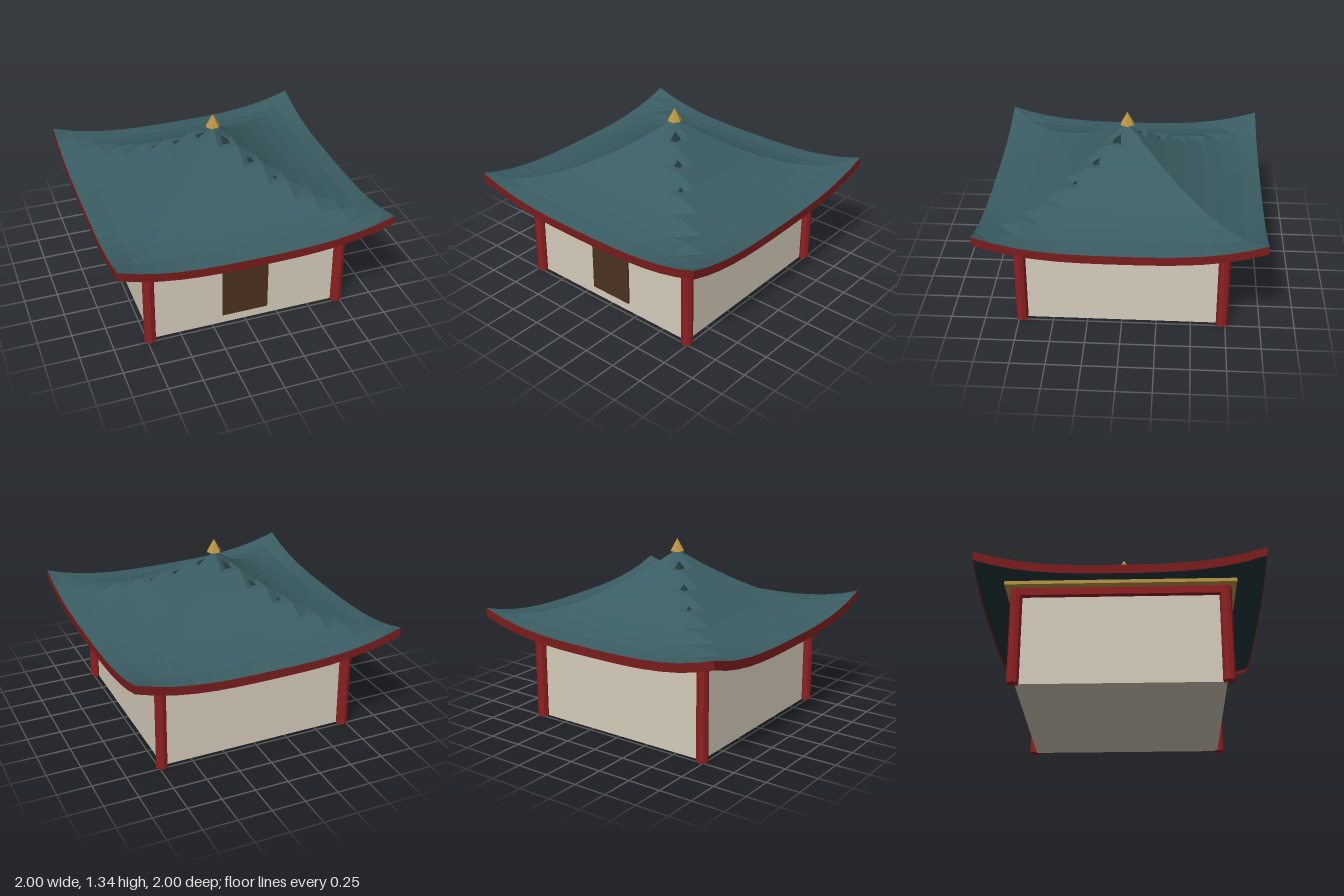
import * as THREE from 'three';

const EAVE = 0.745, PEAK = 1.25, LIFT = 0.12, SHELL = 0.037, RIM = 0.065, SEGS = 14;

const mat = (color, side = THREE.FrontSide) =>
  new THREE.MeshStandardMaterial({ color, side, flatShading: true });

// Roof height: concave square pyramid with upswept corners
function roofHeight(x, z) {
  const d = Math.min(1, Math.max(Math.abs(x), Math.abs(z)));
  return EAVE + (PEAK - EAVE) * Math.pow(1 - d, 1.8) + LIFT * Math.pow(Math.abs(x * z), 3);
}

// Square grid sheet draped over the roof height, facing up or down
function roofSheet(tilt, drop) {
  const g = new THREE.PlaneGeometry(2, 2, SEGS, SEGS).rotateX(tilt);
  const p = g.attributes.position;
  for (let i = 0; i < p.count; i++) p.setY(i, roofHeight(p.getX(i), p.getZ(i)) - drop);
  g.computeVertexNormals();
  return g;
}

// Fascia ribbon following one eave
function fasciaStrip() {
  const g = new THREE.PlaneGeometry(2, RIM, SEGS, 1);
  const p = g.attributes.position;
  for (let i = 0; i < p.count; i++) {
    const x = p.getX(i);
    p.setXYZ(i, x, roofHeight(x, 1) - RIM / 2 + p.getY(i), 1);
  }
  g.computeVertexNormals();
  return g;
}

export function createModel() {
  const model = new THREE.Group();
  const add = (name, geometry, material, x = 0, y = 0, z = 0) => {
    const m = new THREE.Mesh(geometry, material);
    m.name = name;
    m.position.set(x, y, z);
    model.add(m);
    return m;
  };
  const red = mat(0x8e2022), gold = mat(0xba9444);
  const rimRed = mat(0x7a1c1c, THREE.DoubleSide);

  // Body and door
  add('walls', new THREE.BoxGeometry(1.43, 0.71, 1.43), mat(0xd6cdbc), 0, 0.355, 0);
  add('door', new THREE.BoxGeometry(0.346, 0.49, 0.03), mat(0x4c3120), 0, 0.32, 0.715);

  // Corner posts
  const post = new THREE.CylinderGeometry(0.043, 0.043, 0.705, 8);
  for (const x of [-0.727, 0.727])
    for (const z of [-0.727, 0.727]) add('cornerPost', post, red, x, 0.3525, z);

  // Beams and fascia, one per side
  const beam = new THREE.BoxGeometry(1.454, 0.055, 0.06).translate(0, 0.6785, 0.727);
  const fascia = fasciaStrip();
  for (let i = 0; i < 4; i++) {
    add('beam', beam, red).rotation.y = i * Math.PI / 2;
    add('fascia', fascia, rimRed).rotation.y = i * Math.PI / 2;
  }

  // Gilded plate under the roof
  add('eavePlate', new THREE.BoxGeometry(1.61, 0.026, 1.61), gold, 0, 0.724, 0);

  // Roof shell
  add('roofTop', roofSheet(-Math.PI / 2, 0), mat(0x3a5d63, THREE.DoubleSide));
  add('roofUnderside', roofSheet(Math.PI / 2, SHELL), mat(0x22363a, THREE.DoubleSide));

  // Finial
  add('finial', new THREE.ConeGeometry(0.055, 0.095, 6).rotateY(Math.PI / 6), gold, 0, 1.288, 0);

  return model;
}
